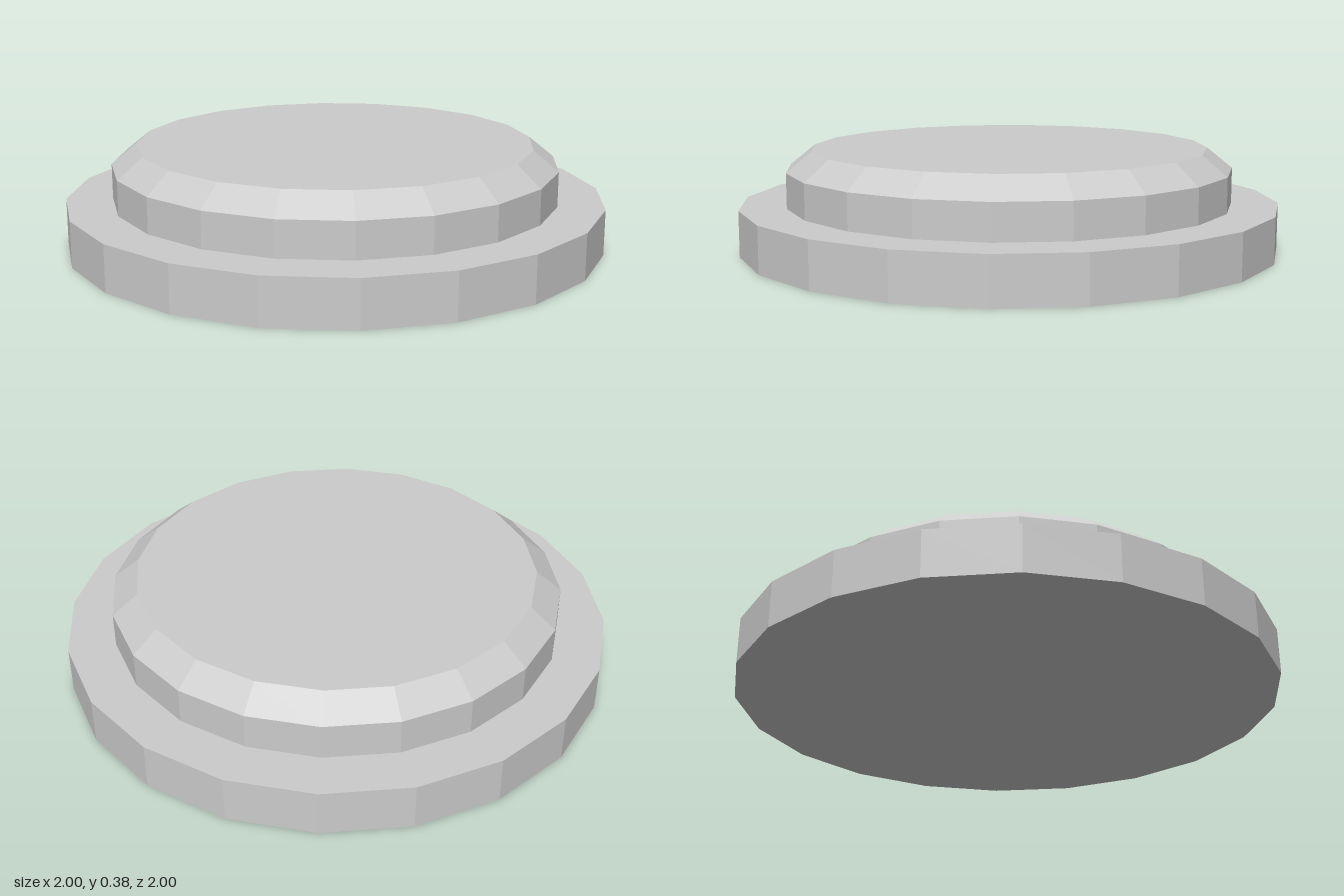
import * as THREE from 'three';

const SIDES = 20;

// Faceted solid of revolution; profile is [radius, height] from bottom to top
function turned(name, profile, material) {
  const points = profile.map(([r, y]) => new THREE.Vector2(r, y));
  const mesh = new THREE.Mesh(new THREE.LatheGeometry(points, SIDES), material);
  mesh.name = name;
  return mesh;
}

export function createModel() {
  const group = new THREE.Group();
  group.name = 'steppedDisc';
  const material = new THREE.MeshStandardMaterial({ color: 0xcccccc, flatShading: true });

  // Wide base: closed underside, side wall and the ledge up to the raised disc
  group.add(turned('base', [[0, 0], [1, 0], [1, 0.17], [0.828, 0.17]], material));

  // Raised disc with a bevelled rim and flat top
  group.add(turned('raisedDisc', [[0.828, 0.17], [0.828, 0.3], [0.735, 0.375], [0, 0.375]], material));

  return group;
}
